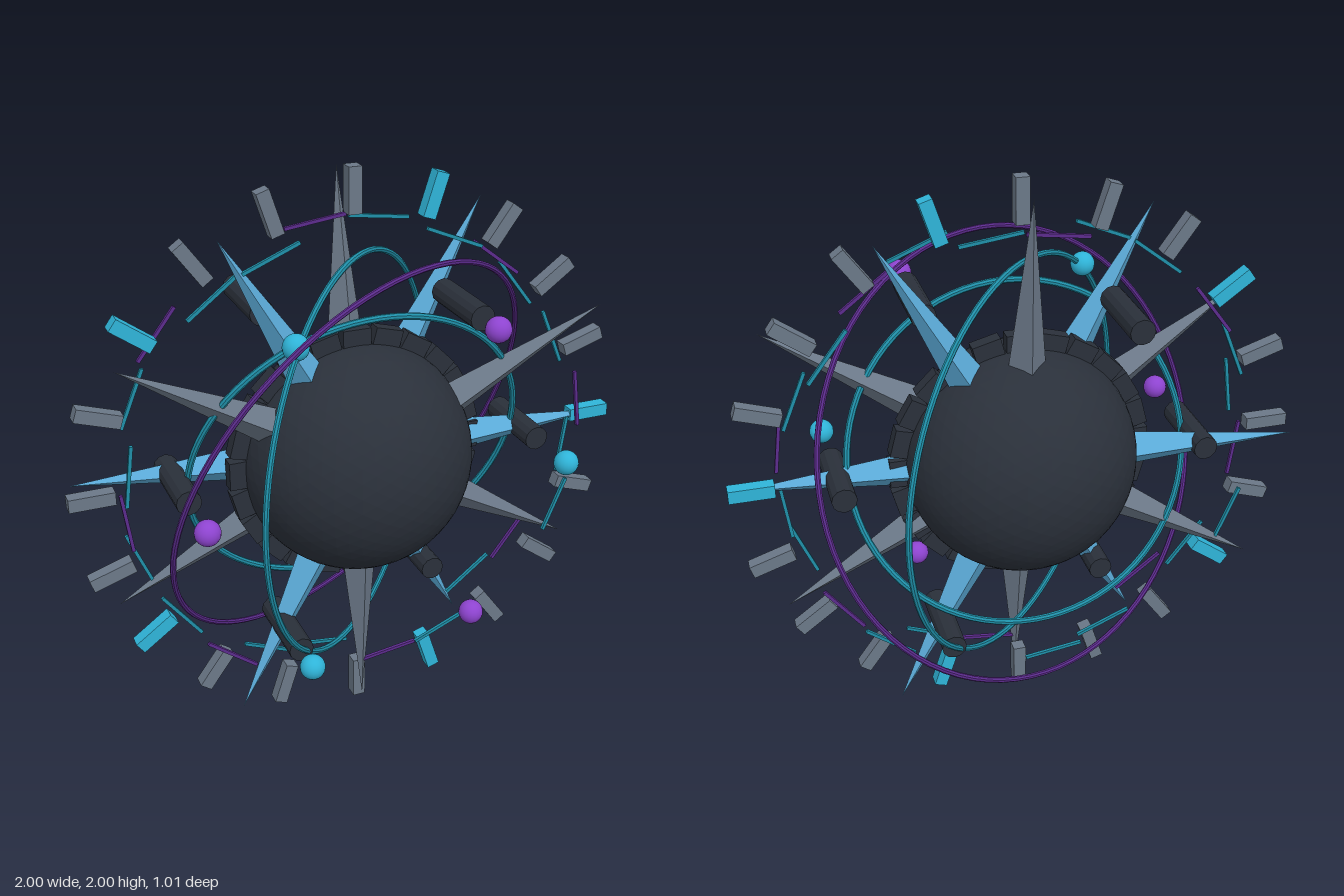
import * as THREE from 'three';

const mat = (color) => new THREE.MeshStandardMaterial({ color, flatShading: true });

export function createModel() {
  const model = new THREE.Group();
  const core = new THREE.Group();
  core.name = 'spikedCore';
  core.position.y = 1;
  model.add(core);

  const dark = mat(0x2a303a), grey = mat(0x6b7888), blue = mat(0x5aa9d6);
  const cyan = mat(0x2fb4d8), purple = mat(0x8e44d0);
  const teal = mat(0x1f8fa8), violet = mat(0x5b2b8c);

  const add = (name, geometry, material, x = 0, y = 0, z = 0, parent = core) => {
    const mesh = new THREE.Mesh(geometry, material);
    mesh.name = name;
    mesh.position.set(x, y, z);
    parent.add(mesh);
    return mesh;
  };
  // a pivot whose local +y points outward at the given angle in the front plane
  const spoke = (name, degrees) => {
    const pivot = new THREE.Group();
    pivot.name = name;
    pivot.rotation.z = THREE.MathUtils.degToRad(degrees - 90);
    core.add(pivot);
    return pivot;
  };

  // central faceted ball
  add('centralSphere', new THREE.IcosahedronGeometry(0.405, 9), dark);

  // toothed collar around the ball
  const tooth = new THREE.BoxGeometry(0.1, 0.08, 0.05);
  for (let i = 0; i < 24; i++) {
    add('collarTooth', tooth, dark, 0, 0.42, 0, spoke('collarSegment', i * 15));
  }

  // four-sided spikes, each leaning a little forward or back
  const tipZ = [0.01, 0.17, -0.07, -0.16, 0.08, 0.13, -0.12, -0.11, 0.15, 0.07, -0.16, 0.01];
  tipZ.forEach((z, i) => {
    const inner = 0.37, outer = 0.97, baseZ = z * 0.55;
    const length = Math.hypot(outer - inner, z - baseZ);
    const spike = add('spike', new THREE.ConeGeometry(0.065, length, 4), i % 2 ? grey : blue,
      0, (inner + outer) / 2, (z + baseZ) / 2, spoke('spikePivot', i * 30));
    spike.rotation.x = Math.atan2(z - baseZ, outer - inner);
  });

  // orbit rings
  const ring = (name, radius, tube, material) =>
    add(name, new THREE.TorusGeometry(radius, tube, 8, 80), material);
  ring('innerRing', 0.6, 0.012, teal).rotation.x = 0.35;
  ring('turnedRing', 0.7, 0.011, teal).rotation.y = Math.PI / 4;
  ring('tiltedRing', 0.785, 0.01, violet).quaternion.setFromUnitVectors(
    new THREE.Vector3(0, 0, 1), new THREE.Vector3(0.373, -0.373, 0.85).normalize());

  // thin staggered dashes forming the outer circle
  const dash = new THREE.BoxGeometry(0.215, 0.012, 0.012);
  for (let i = 0; i < 24; i++) {
    add('outerDash', dash, i % 3 ? teal : violet, 0, 0.82, 0.1 * Math.sin(i * 1.7 + 1.5),
      spoke('outerDashPivot', i * 15 + 7.5));
  }

  // outer marker blocks, every fourth one coloured
  const block = new THREE.BoxGeometry(0.046, 0.155, 0.048);
  for (let i = 0; i < 20; i++) {
    const z = -0.018 * Math.sin(i * Math.PI / 10);
    add('markerBlock', block, i % 4 ? grey : cyan, 0, 0.922, z, spoke('markerPivot', i * 18));
  }

  // six rods along z, each with a ball floating in front
  const rod = new THREE.CylinderGeometry(0.043, 0.043, 0.29, 12);
  const ball = new THREE.SphereGeometry(0.043, 20, 14);
  const smooth = [cyan, purple].map((m) => new THREE.MeshStandardMaterial({ color: m.color }));
  const rodZ = [0, 0.155, -0.155, 0, 0.155, -0.155];
  const ballZ = [0.35, 0.405, 0.305, 0.35, 0.405, 0.305];
  const ballColor = [0, 1, 0, 1, 0, 1];
  rodZ.forEach((z, i) => {
    const a = i * Math.PI / 3, x = 0.635 * Math.cos(a), y = 0.635 * Math.sin(a);
    add('rod', rod, dark, x, y, z).rotation.x = Math.PI / 2;
    add('floatingBall', ball, smooth[ballColor[i]], x, y, ballZ[i]);
  });

  return model;
}
